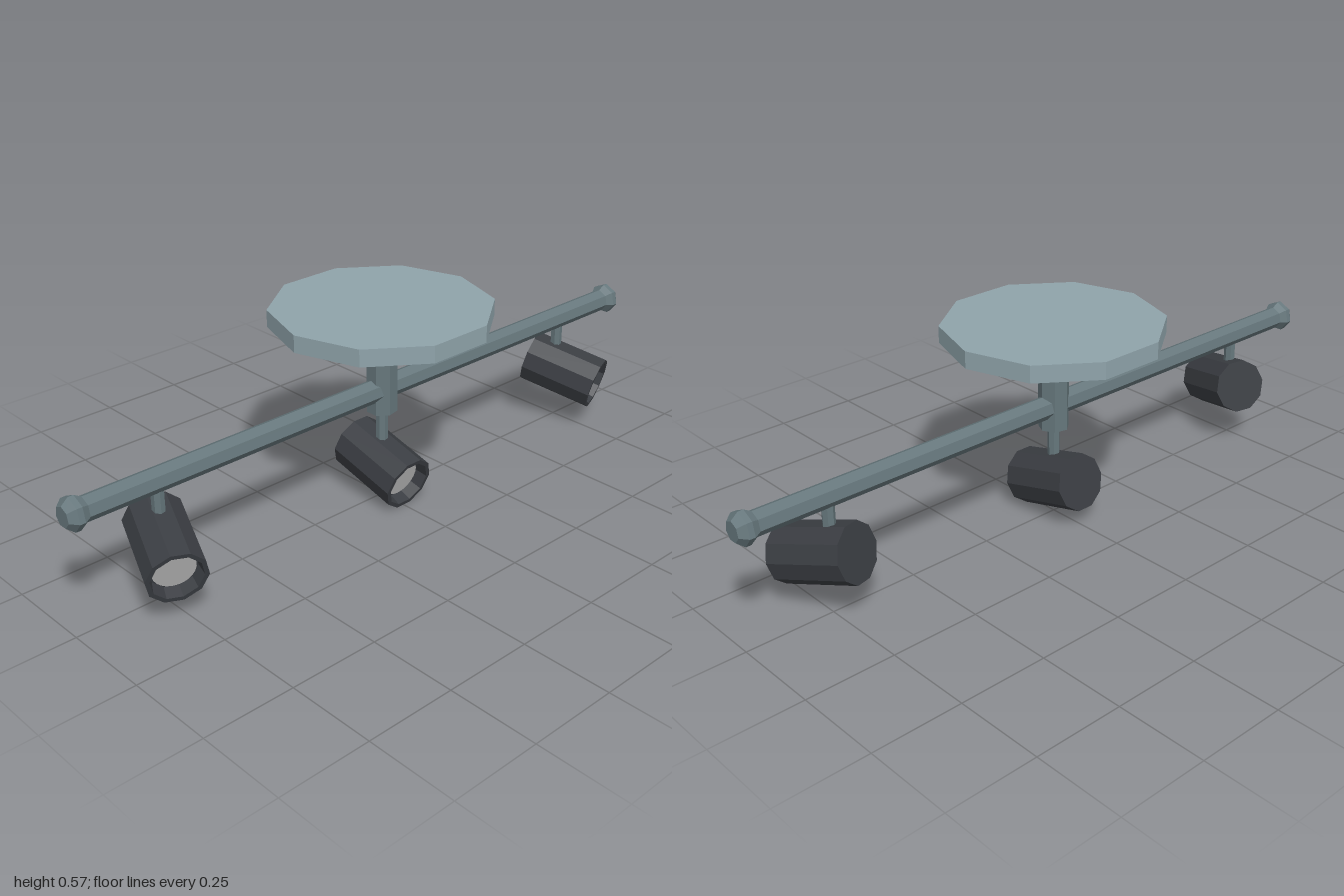
import * as THREE from 'three';

const mat = (name, color) => {
  const m = new THREE.MeshStandardMaterial({ color, flatShading: true });
  m.name = name;
  return m;
};

export function createModel() {
  const paleSteel = mat('pale steel', 0x8fa3aa);
  const steel = mat('steel', 0x66777c);
  const charcoal = mat('charcoal', 0x3a3d42);
  const lampGrey = mat('lamp grey', 0xb4b4b4);

  const model = new THREE.Group();
  model.name = 'ceilingSpotlightBar';

  const add = (parent, name, geometry, material, x = 0, y = 0, z = 0) => {
    const mesh = new THREE.Mesh(geometry, material);
    mesh.name = name;
    mesh.position.set(x, y, z);
    parent.add(mesh);
    return mesh;
  };
  // upright prism between two heights, with a corner facing +x
  const prism = (r, y0, y1, sides) =>
    new THREE.CylinderGeometry(r, r, y1 - y0, sides, 1, false, Math.PI / 2).translate(0, (y0 + y1) / 2, 0);
  const lathe = (points, sides, start) =>
    new THREE.LatheGeometry(points.map(([r, y]) => new THREE.Vector2(r, y)), sides, start);

  // ceiling plate and stem
  add(model, 'ceilingPlate', prism(0.305, 0.527, 0.575, 10), paleSteel);
  add(model, 'stem', prism(0.043, 0.265, 0.53, 7), steel);

  // horizontal bar, one corner up
  const barY = 0.331;
  const bar = new THREE.CylinderGeometry(0.033, 0.033, 1.92, 7, 1, false, -Math.PI / 2);
  add(model, 'bar', bar.rotateZ(-Math.PI / 2), steel, 0, barY, 0);

  // end knobs
  const knob = lathe([[0, 0.945], [0.033, 0.945], [0.045, 0.965], [0.045, 0.98], [0.028, 1], [0, 1]], 7, -Math.PI / 2);
  knob.rotateZ(-Math.PI / 2);
  add(model, 'leftKnob', knob, steel, 0, barY, 0);
  add(model, 'rightKnob', knob, steel, 0, barY, 0).rotation.y = Math.PI;

  // hollow shade and lamp face, pointing along +z
  const half = 0.111, radius = 0.08, recess = 0.035;
  const shade = lathe([
    [0, -half], [radius, -half], [radius, half],
    [0.068, half], [0.062, half - recess], [0, half - recess],
  ], 10, Math.PI / 2).rotateX(Math.PI / 2);
  const face = new THREE.CircleGeometry(0.056, 24);

  // three spotlights: the outer two turn outwards
  const spots = [
    ['centre', 0, 0, 0.103, 0, 0, 0.165, 0.27],
    ['left', 1, 0.752, 0.161, 0.03, 0.742, 0.22, 0.32],
    ['right', -1, -0.752, 0.161, 0.03, -0.742, 0.22, 0.32],
  ];
  for (const [name, turn, x, y, z, stalkX, y0, y1] of spots) {
    add(model, name + 'Stalk', prism(0.017, y0, y1, 7), steel, stalkX);
    const spot = new THREE.Group();
    spot.name = name + 'Spotlight';
    spot.position.set(x, y, z);
    spot.rotation.set(Math.PI / 12, turn * Math.PI / 9, 0);
    add(spot, 'shade', shade, charcoal);
    add(spot, 'lampFace', face, lampGrey, 0, 0, half - recess + 0.004);
    model.add(spot);
  }
  return model;
}
